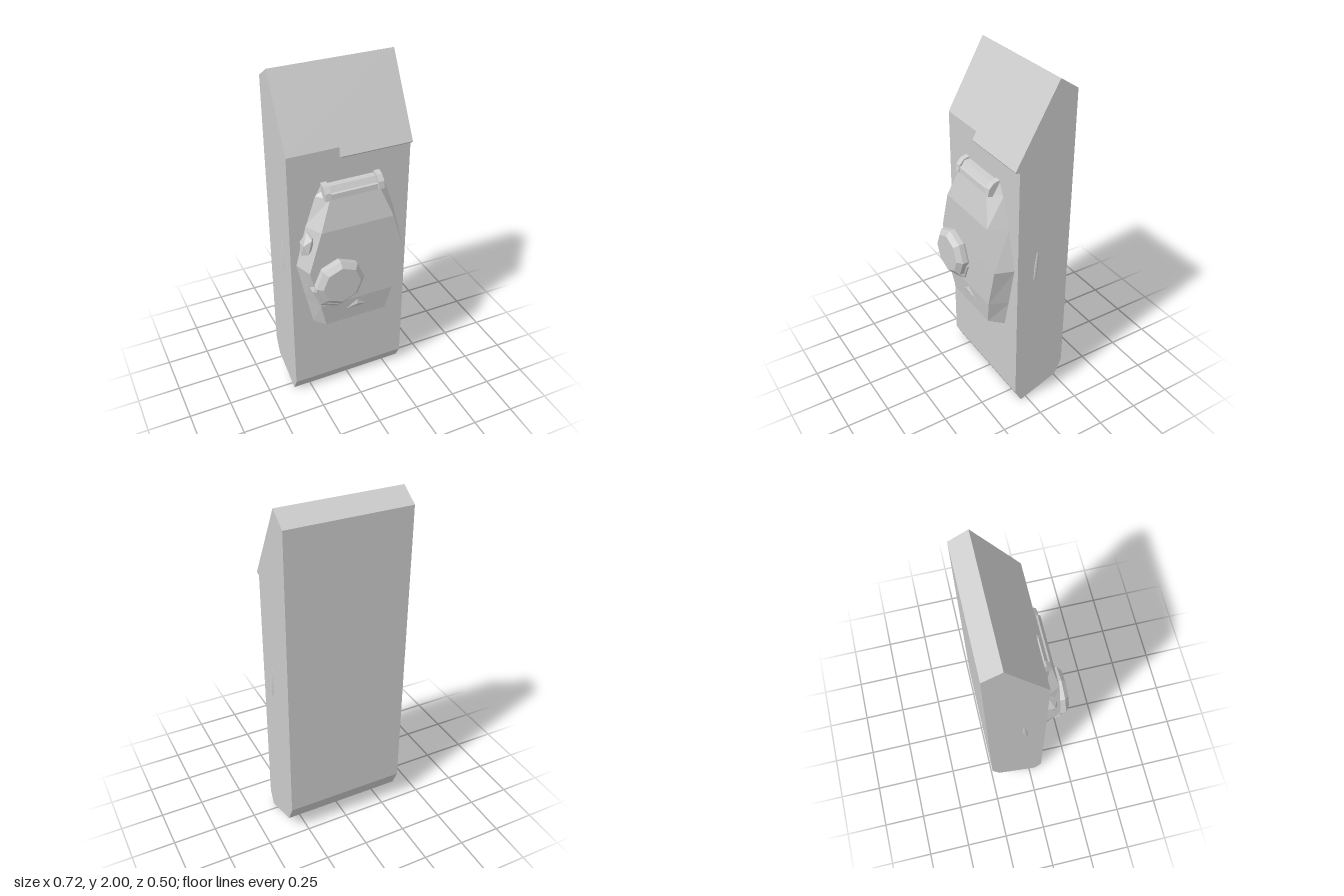
import * as THREE from 'three';

const grey = new THREE.MeshStandardMaterial({ color: 0xcccccc, flatShading: true });

function add(parent, name, geometry, x = 0, y = 0, z = 0) {
  const mesh = new THREE.Mesh(geometry, grey);
  mesh.name = name;
  mesh.position.set(x, y, z);
  parent.add(mesh);
  return mesh;
}

// Extrudes a [z, y] side profile along x from x0 to x1
function extrudeX(profile, x0, x1) {
  const shape = new THREE.Shape(profile.map(([z, y]) => new THREE.Vector2(-z, y)));
  return new THREE.ExtrudeGeometry(shape, { depth: x1 - x0, bevelEnabled: false })
    .rotateY(Math.PI / 2).translate(x0, 0, 0);
}

// Lofts rows of [base y, base half width, face y, face half width, face z]
function loftPlate(rows, baseZ) {
  const pos = [], index = [];
  for (const [yb, wb, yf, wf, zf] of rows) {
    pos.push(-wb, yb, baseZ, -wf, yf, zf, wf, yf, zf, wb, yb, baseZ);
  }
  for (let r = 0; r < rows.length - 1; r++) {
    for (let i = 0; i < 3; i++) {
      const a = r * 4 + i, b = a + 1, c = b + 4, d = a + 4;
      index.push(a, b, c, a, c, d);
    }
  }
  const g = new THREE.BufferGeometry();
  g.setAttribute('position', new THREE.Float32BufferAttribute(pos, 3));
  g.setIndex(index);
  g.computeVertexNormals();
  return g;
}

// Octagonal turned part facing +z from [radius, z] points
function octagon(points) {
  return new THREE.LatheGeometry(points.map(([r, z]) => new THREE.Vector2(r, z)), 8)
    .rotateX(Math.PI / 2);
}

export function createModel() {
  const model = new THREE.Group();
  model.name = 'wallUnit';

  // Tall chamfered body
  add(model, 'body', extrudeX([
    [0.08, 0.08], [0.04, 0], [-0.2, 0.09], [-0.245, 0.19],
    [-0.245, 1.93], [-0.14, 2], [0.08, 1.614],
  ], -0.353, 0.353));

  // Overhanging lip on part of the sloped top
  add(model, 'lip', extrudeX([
    [0.06, 1.56], [0.06, 1.649], [0.105, 1.57], [0.1, 1.562],
  ], -0.06, 0.353));

  // Raised front plate, widest at mid height
  const plate = new THREE.Group();
  plate.name = 'frontPlate';
  model.add(plate);
  add(plate, 'plateShell', loftPlate([
    [0.52, 0.23, 0.52, 0.225, 0.075],
    [0.525, 0.232, 0.548, 0.185, 0.165],
    [0.7, 0.27, 0.7, 0.222, 0.183],
    [0.95, 0.322, 0.95, 0.284, 0.184],
    [1.19, 0.262, 1.19, 0.212, 0.183],
    [1.36, 0.205, 1.36, 0.145, 0.145],
    [1.42, 0.175, 1.41, 0.135, 0.105],
    [1.425, 0.17, 1.425, 0.135, 0.075],
  ], 0.075));

  // Ridges on both top corners with a two-step rail between them
  for (const s of [-1, 1]) {
    add(plate, 'cornerRidge', extrudeX([
      [0.07, 1.34], [0.151, 1.355], [0.143, 1.395], [0.115, 1.425], [0.07, 1.437],
    ], s * 0.153 - 0.017, s * 0.153 + 0.017));
  }
  add(plate, 'topRail', extrudeX([
    [0.07, 1.355], [0.146, 1.355], [0.143, 1.386], [0.132, 1.39],
    [0.112, 1.42], [0.07, 1.424],
  ], -0.135, 0.133));

  // Faceted lump on the right edge of the plate
  const lump = add(plate, 'edgeLump', new THREE.IcosahedronGeometry(1, 0), -0.268, 1.1, 0.115);
  lump.scale.set(0.038, 0.085, 0.05);
  lump.rotation.z = -0.25;

  // Shallow raised fold near the bottom of the plate
  const fold = add(plate, 'faceFold',
    new THREE.ConeGeometry(0.08, 0.014, 3).rotateX(Math.PI / 2).rotateZ(Math.PI),
    0, 0.655, 0.181);
  fold.scale.y = 0.7;

  // Octagonal knob over its slightly lower seat
  add(model, 'knobSeat', octagon([[0.143, 0.15], [0.143, 0.192], [0.125, 0.203], [0, 0.203]]),
    -0.13, 0.83);
  add(model, 'knob', octagon([[0.132, 0.17], [0.143, 0.195], [0.143, 0.225], [0.112, 0.25], [0, 0.25]]),
    -0.122, 0.869);

  // Slim lens-shaped buttons on both sides
  for (const s of [-1, 1]) {
    const button = add(model, 'sideButton', new THREE.SphereGeometry(1, 8, 6), s * 0.352, 0.955, -0.036);
    button.scale.set(0.008, 0.097, 0.012);
    button.rotation.x = -0.08;
  }

  return model;
}
